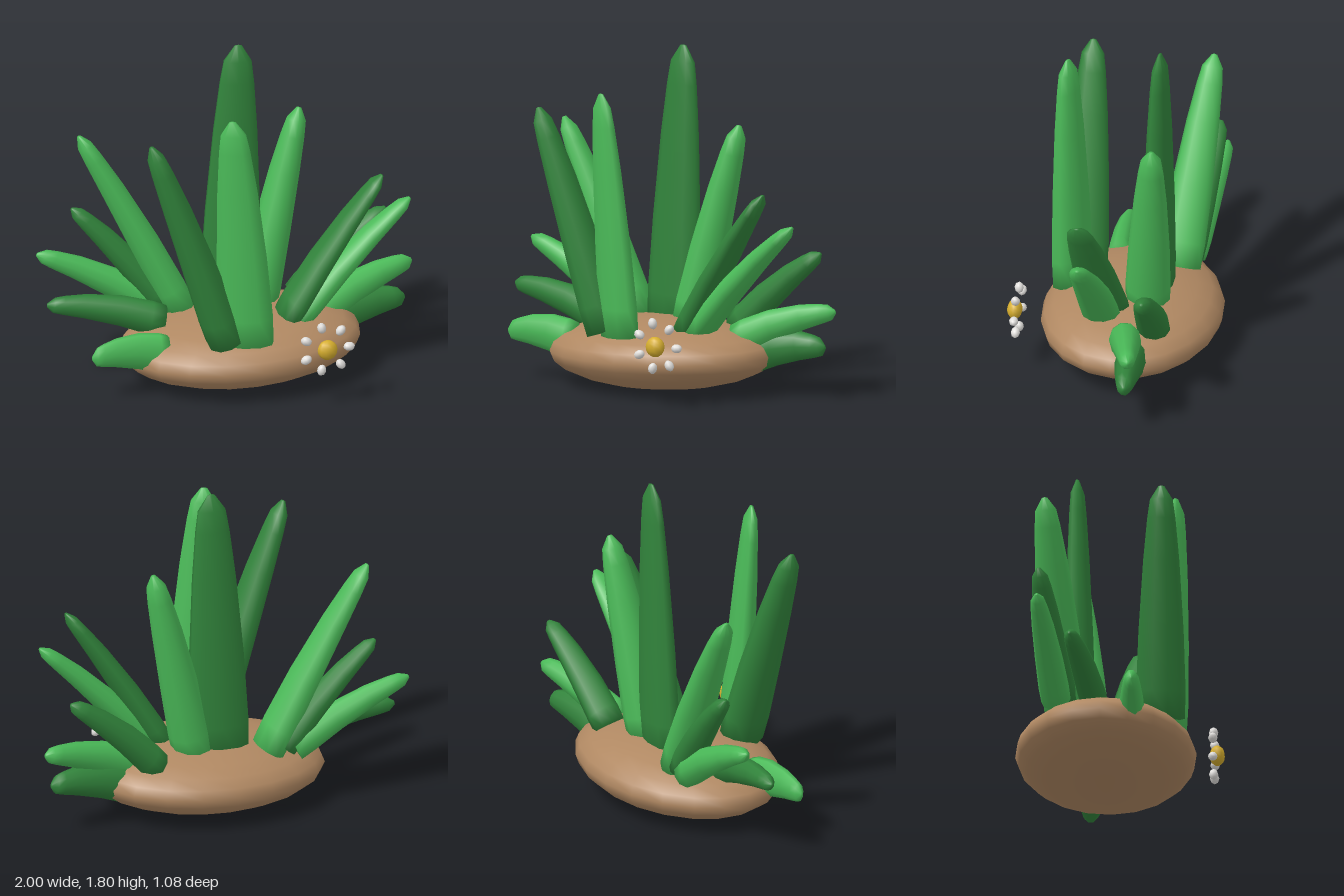
import * as THREE from 'three';

const mat = (name, color) => {
  const m = new THREE.MeshStandardMaterial({ color });
  m.name = name;
  return m;
};

// Tapered leaf: base point, tip point, half width across, half depth in z, roll about its axis
function leafGeometry(base, tip, width, depth, roll) {
  const a = new THREE.Vector3(...base);
  const b = new THREE.Vector3(...tip);
  const dir = b.clone().sub(a);
  const length = dir.length();
  dir.normalize();

  const profile = [[0, 0], [0.97, 0.004], [1, 0.12], [0.91, 0.38], [0.73, 0.68], [0.57, 0.86], [0.46, 0.94], [0.12, 0.997], [0, 1]]
    .map(([r, t]) => new THREE.Vector2(r, t));
  const geo = new THREE.LatheGeometry(profile, 10);

  // Slight arch, bulging upward on leaning leaves
  const arch = -dir.x * 0.03;
  const pos = geo.attributes.position;
  for (let i = 0; i < pos.count; i++) {
    const t = pos.getY(i);
    pos.setX(i, pos.getX(i) + (arch * Math.sin(Math.PI * t)) / width);
  }

  const side = new THREE.Vector3().crossVectors(dir, new THREE.Vector3(0, 0, 1)).normalize();
  side.applyAxisAngle(dir, -roll);
  const out = new THREE.Vector3().crossVectors(side, dir);
  const m = new THREE.Matrix4().makeBasis(side, dir, out)
    .scale(new THREE.Vector3(width, length, depth))
    .setPosition(a);
  return geo.applyMatrix4(m);
}

export function createModel() {
  const group = new THREE.Group();
  const brown = mat('soil brown', 0xb08862);
  const light = mat('light green', 0x4aba58);
  const dark = mat('dark green', 0x31833b);
  const white = mat('petal white', 0xe0dedb);
  const gold = mat('flower gold', 0xd6ae2e);

  const add = (name, geo, material, parent = group) => {
    const mesh = new THREE.Mesh(geo, material);
    mesh.name = name;
    parent.add(mesh);
    return mesh;
  };

  // Soil mound
  const mound = add('mound', new THREE.SphereGeometry(1, 20, 12), brown);
  mound.scale.set(0.643, 0.19, 0.475);
  mound.position.set(0.018, 0.192, -0.07);
  mound.rotation.z = 0.03;

  // Leaves: material, base, tip, half width, half depth, roll
  const leaves = [
    [dark, [-0.005, 0.3, -0.2], [0.05, 1.8, -0.22], 0.165, 0.08, 0.12],
    [light, [-0.035, 0.31, 0.26], [-0.125, 1.6, 0.305], 0.15, 0.08, 0.45],
    [dark, [-0.14, 0.32, 0.225], [-0.55, 1.48, 0.25], 0.1, 0.13],
    [light, [-0.255, 0.32, -0.26], [-0.78, 1.32, -0.35], 0.09, 0.12],
    [dark, [-0.33, 0.34, -0.29], [-0.81, 0.9, -0.38], 0.08, 0.09],
    [light, [-0.38, 0.33, -0.31], [-1.0, 0.66, -0.38], 0.085, 0.08],
    [dark, [-0.38, 0.32, -0.11], [-0.99, 0.44, -0.21], 0.09, 0.075],
    [light, [-0.42, 0.22, 0.09], [-0.83, 0.25, 0.105], 0.11, 0.065],
    [light, [0.13, 0.32, -0.17], [0.385, 1.4, -0.24], 0.11, 0.12],
    [dark, [0.24, 0.33, 0.025], [0.745, 1.11, 0.09], 0.07, 0.13],
    [light, [0.3, 0.33, 0.04], [0.905, 0.95, 0.055], 0.075, 0.105],
    [dark, [0.37, 0.32, -0.25], [0.865, 0.76, -0.28], 0.085, 0.09],
    [light, [0.45, 0.28, -0.11], [0.99, 0.47, -0.23], 0.095, 0.085],
    [dark, [0.48, 0.2, -0.16], [0.945, 0.28, -0.2], 0.11, 0.085],
  ];
  const foliage = new THREE.Group();
  foliage.name = 'leaves';
  group.add(foliage);
  leaves.forEach(([m, base, tip, w, d, roll = 0], i) => add('leaf' + (i + 1), leafGeometry(base, tip, w, d, roll), m, foliage));

  // Flower floating at the front of the mound
  const flower = new THREE.Group();
  flower.name = 'flower';
  flower.position.set(0.338, 0.328, 0.478);
  group.add(flower);
  const heart = add('flowerCentre', new THREE.SphereGeometry(0.054, 10, 8), gold, flower);
  heart.scale.z = 0.75;
  heart.position.z = 0.018;
  for (let i = 0; i < 7; i++) {
    const angle = (i / 7) * Math.PI * 2;
    const petal = add('petal' + (i + 1), new THREE.SphereGeometry(0.026, 8, 6), white, flower);
    petal.position.set(Math.cos(angle) * 0.122, Math.sin(angle) * 0.122, 0);
    petal.scale.set(1.2, 0.9, 0.95);
    petal.rotation.z = angle;
  }
  return group;
}
